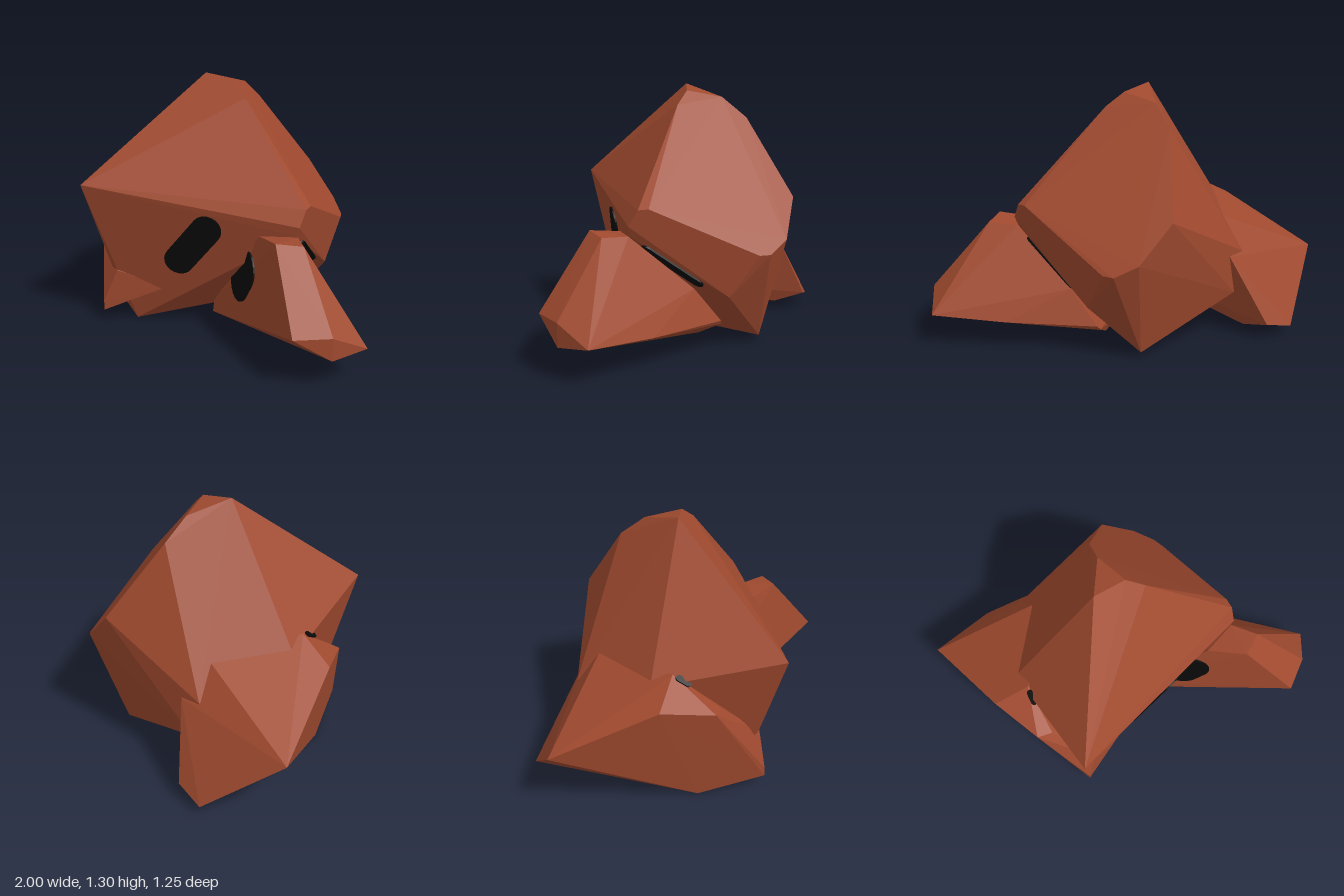
import * as THREE from 'three';
import { ConvexGeometry } from 'three/addons/geometries/ConvexGeometry.js';

const V = (p) => new THREE.Vector3(...p);

export function createModel() {
  const group = new THREE.Group();
  const rust = new THREE.MeshStandardMaterial({ color: 0xa04a2f });
  rust.name = 'rustBrown';
  const black = new THREE.MeshStandardMaterial({ color: 0x0a0a0a });
  black.name = 'black';

  // Faceted boulder: the hull of a few corner points
  function rock(name, corners) {
    const mesh = new THREE.Mesh(new ConvexGeometry(corners.map(V)), rust);
    mesh.name = name;
    group.add(mesh);
  }

  // Thin rounded patch on the plane of three face corners (counter-clockwise from outside);
  // its two ends are dropped onto that plane along the given axis
  function patch(name, face, start, end, radius, axis) {
    const plane = new THREE.Plane().setFromCoplanarPoints(...face.map(V));
    const dir = V(axis);
    const drop = (p) => {
      const v = V(p);
      return v.addScaledVector(dir, -plane.distanceToPoint(v) / plane.normal.dot(dir));
    };
    const a = drop(start), b = drop(end);
    const half = a.distanceTo(b) / 2;
    const shape = new THREE.Shape();
    shape.absarc(half, 0, radius, -Math.PI / 2, Math.PI / 2, false);
    shape.absarc(-half, 0, radius, Math.PI / 2, Math.PI * 1.5, false);
    const geo = new THREE.ExtrudeGeometry(shape, { depth: 0.009, bevelEnabled: false, curveSegments: 6 });
    const u = b.clone().sub(a).normalize();
    const n = plane.normal.clone();
    geo.applyMatrix4(new THREE.Matrix4().makeBasis(u, n.clone().cross(u), n));
    const mesh = new THREE.Mesh(geo, black);
    mesh.position.copy(a).add(b).multiplyScalar(0.5);
    mesh.name = name;
    group.add(mesh);
  }

  // Large central boulder
  rock('mainRock', [
    [-0.17, 1.3, -0.01], [0, 1.27, -0.05], [0.09, 1.2, -0.02],
    [-0.08, 1.235, -0.22], [-0.08, 1.13, -0.35],
    [0.07, 0.745, -0.615], [0.25, 0.56, -0.605], [0.35, 0.5, -0.54], [0.38, 0.5, -0.49],
    [0.54, 0.735, 0.02], [0.55, 0.73, 0.07], [0.55, 0.65, 0.12], [0.53, 0.6, 0.12],
    [-0.46, 0.78, 0.625],
    [-0.32, 0, 0.39], [-0.4, 0.08, 0.4],
    [0.385, 0.285, -0.345], [0.145, 0.03, -0.46],
    [-0.635, 0.62, 0], [-0.47, 0.46, -0.46], [-0.42, 0.24, -0.47], [-0.5, 0.2, 0.1],
  ]);

  // Smaller boulder on the right side
  rock('rightRock', [
    [-1, 0.37, -0.38], [-0.78, 0.59, 0.1], [-0.59, 0.69, 0.1],
    [-0.63, 0.53, 0.33], [-0.55, 0.52, 0.33],
    [-0.6, 0, 0.23], [-0.43, 0.06, 0.53], [-0.43, 0.11, 0.53], [-0.37, 0.29, 0.48],
    [-0.68, 0.05, -0.63], [-0.52, 0.09, -0.63], [-0.49, 0.04, -0.47],
    [-0.37, 0.45, -0.49], [-0.43, 0.62, -0.35], [-0.14, 0.215, 0.345],
  ]);

  // Low wedge-shaped boulder on the left side
  rock('leftRock', [
    [0.37, 0.59, 0.21], [0.55, 0.625, 0.31], [0.65, 0.61, 0.22], [0.54, 0.6, 0.12],
    [0.79, 0.27, 0.485], [0.92, 0.27, 0.35], [1, 0.18, 0.18], [0.92, 0.155, 0.35],
    [0.69, 0.155, -0.04], [0.3, 0.14, -0.29], [0.28, 0.12, -0.29], [0.385, 0.32, -0.17],
    [0.17, 0.03, -0.15], [-0.06, 0, 0.07], [-0.05, 0.07, 0.07],
  ]);

  // Dark patches on the rock faces
  const z = [0, 0, 1];
  patch('mainRockPatch', [[-0.46, 0.78, 0.625], [-0.32, 0, 0.39], [0.55, 0.65, 0.12]],
    [-0.045, 0.395, 0], [0.115, 0.59, 0], 0.078, z);
  patch('leftRockPatch', [[-0.06, 0.03, 0.07], [0.79, 0.27, 0.485], [0.55, 0.625, 0.31]],
    [0.235, 0.305, 0], [0.285, 0.385, 0], 0.105, z);
  patch('undersidePatch', [[-0.32, 0, 0.39], [0.385, 0.285, -0.345], [0.53, 0.6, 0.12]],
    [0, 0.53, 0.04], [0, 0.358, -0.185], 0.035, [1, 0, 0]);
  patch('sidePatch', [[-0.59, 0.69, 0.1], [-0.78, 0.59, 0.1], [-0.63, 0.53, 0.33]],
    [-0.59, 0, 0.13], [-0.585, 0, 0.175], 0.016, [0, 1, 0]);
  return group;
}
